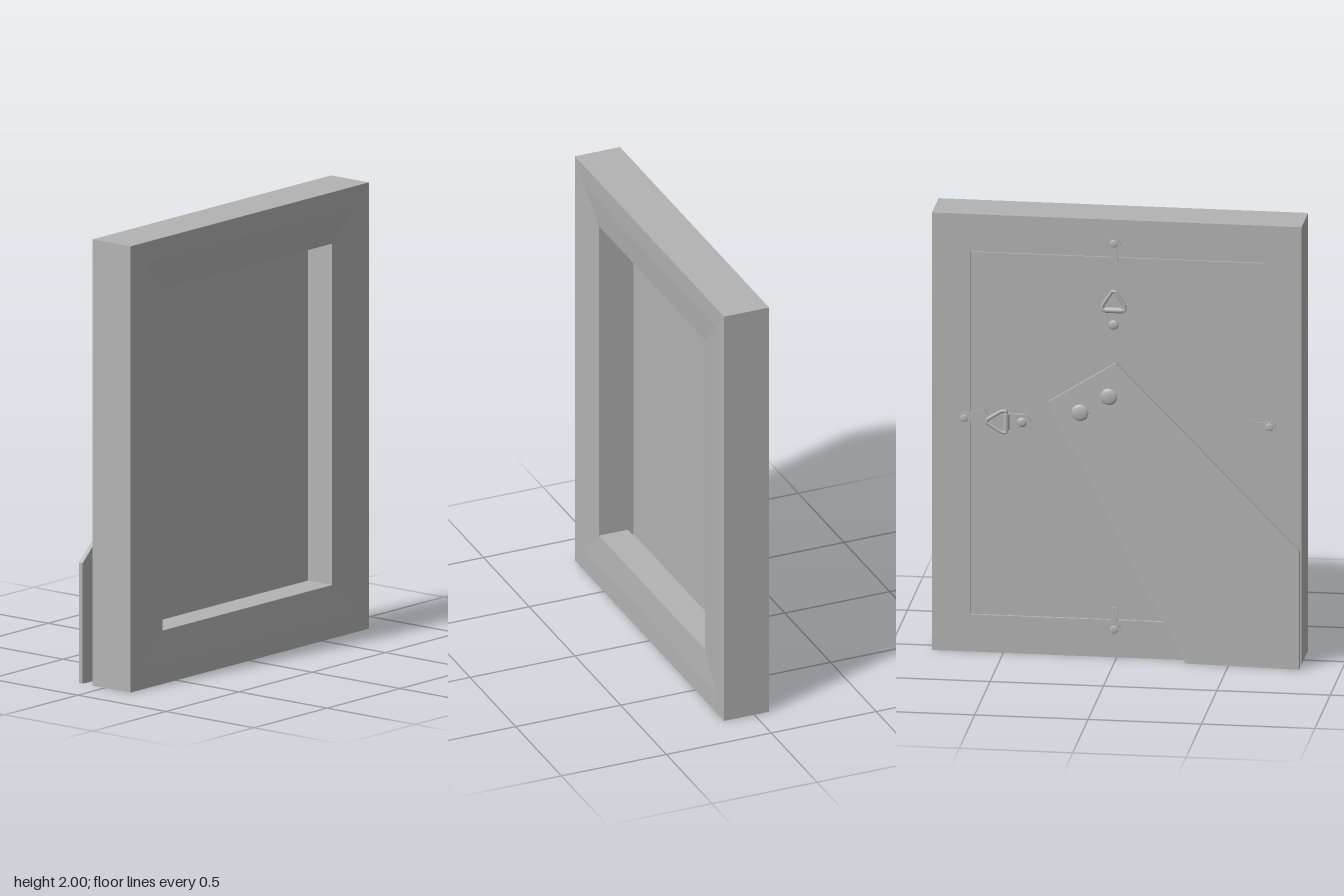
import * as THREE from 'three';

const BACK = -0.07; // rear plane of the frame

export function createModel() {
  const root = new THREE.Group();
  const grey = new THREE.MeshStandardMaterial({ color: 0xb3b3b3 });
  grey.name = 'grey';

  const add = (parent, name, geometry, x = 0, y = 0, z = 0) => {
    const mesh = new THREE.Mesh(geometry, grey);
    mesh.name = name;
    mesh.position.set(x, y, z);
    parent.add(mesh);
    return mesh;
  };

  // Low rivet head bulging towards -z
  const dome = (r, h) => {
    const pts = [];
    for (let i = 0; i <= 6; i++) {
      const a = (i / 6) * Math.PI / 2;
      pts.push(new THREE.Vector2(r * Math.cos(a), h * Math.sin(a)));
    }
    pts[6].x = 0;
    return new THREE.LatheGeometry(pts, 20).rotateX(-Math.PI / 2);
  };

  // Mitred moulding: profile of [distance inward, z], swept round four corners
  const profile = [[0, BACK], [0, 0.145], [0.1, 0.143], [0.235, 0.132],
    [0.235, -0.005], [0.17, -0.005], [0.17, BACK]];
  const corners = [[-1, -1], [1, -1], [1, 1], [-1, 1]];
  const at = (c, p) => [c[0] * (0.815 - p[0]), 1 + c[1] * (1 - p[0]), p[1]];
  const pos = [];
  corners.forEach((c, i) => {
    const n = corners[(i + 1) % 4];
    profile.forEach((p, j) => {
      const q = profile[(j + 1) % profile.length];
      const [A, B, C, D] = [at(c, p), at(n, p), at(n, q), at(c, q)];
      pos.push(...A, ...B, ...C, ...A, ...C, ...D);
    });
  });
  const moulding = new THREE.BufferGeometry();
  moulding.setAttribute('position', new THREE.Float32BufferAttribute(pos, 3));
  moulding.computeVertexNormals();
  add(root, 'frame', moulding);

  // Backing board set in the rebate
  add(root, 'backingBoard', new THREE.BoxGeometry(1.284, 1.654, 0.01), 0, 1, -0.063);

  // Easel leg, leaning away from the board towards its foot
  const legShape = new THREE.Shape([[0.3, 1.16], [0, 1.355], [-0.815, 0.54], [-0.815, 0], [-0.31, 0]]
    .map(([x, y]) => new THREE.Vector2(x, y)));
  const leg = new THREE.ExtrudeGeometry(legShape, { depth: 0.02, bevelEnabled: false });
  const legZ = x => -0.105 + 0.051 * x;
  const lp = leg.attributes.position;
  for (let i = 0; i < lp.count; i++) lp.setZ(i, lp.getZ(i) + legZ(lp.getX(i)));
  leg.computeVertexNormals();
  const stand = new THREE.Group();
  stand.name = 'stand';
  root.add(stand);
  add(stand, 'standLeg', leg);
  for (const [x, y] of [[0.158, 1.12], [0.03, 1.2]]) add(stand, 'standRivet', dome(0.038, 0.012), x, y, legZ(x));

  // Hangers: strap plate, rivet, folded loop and triangular wire ring
  const ringPath = new THREE.CurvePath();
  const tri = [[-0.05, 0], [0.05, 0], [0.048, 0.022], [0.008, 0.085], [-0.008, 0.085], [-0.048, 0.022]]
    .map(([x, y]) => new THREE.Vector3(x, y, 0));
  tri.forEach((p, i) => ringPath.add(new THREE.LineCurve3(p, tri[(i + 1) % tri.length])));
  const ringGeo = new THREE.TubeGeometry(ringPath, 60, 0.008, 8, true);
  const strap = new THREE.Shape();
  strap.moveTo(0.036, 0);
  strap.lineTo(-0.036, 0);
  strap.lineTo(-0.036, -0.07);
  strap.absarc(0, -0.07, 0.036, Math.PI, Math.PI * 2, false);
  const strapGeo = new THREE.ExtrudeGeometry(strap, { depth: 0.012, bevelEnabled: false, curveSegments: 14 });
  const hanger = (name, x, y, turn) => {
    const g = new THREE.Group();
    g.name = name;
    g.position.set(x, y, 0);
    g.rotation.z = turn;
    add(g, 'hangerStrap', strapGeo, 0, 0, -0.08);
    add(g, 'hangerRivet', dome(0.022, 0.008), 0, -0.068, -0.08);
    add(g, 'hangerLoop', new THREE.CylinderGeometry(0.013, 0.013, 0.072, 14).rotateZ(Math.PI / 2), 0, 0, -0.081);
    add(g, 'hangerRing', ringGeo, 0, 0, -0.081);
    root.add(g);
  };
  hanger('topHanger', 0.012, 1.59, 0);
  hanger('sideHanger', 0.485, 1.06, -Math.PI / 2);

  // Turn buttons that hold the board in, wide end outwards
  const button = new THREE.Shape();
  button.absarc(0, 0.037, 0.028, -0.6, Math.PI + 0.6, false);
  button.quadraticCurveTo(-0.01, 0, 0.022 * Math.cos(Math.PI - 0.6), -0.043 + 0.022 * Math.sin(0.6));
  button.absarc(0, -0.043, 0.022, Math.PI - 0.6, Math.PI * 2 + 0.6, false);
  button.quadraticCurveTo(0.01, 0, 0.028 * Math.cos(0.6), 0.037 - 0.028 * Math.sin(0.6));
  const buttonGeo = new THREE.ExtrudeGeometry(button, { depth: 0.006, bevelEnabled: false, curveSegments: 12 });
  const turns = [
    ['topTurnButton', 0.012, 1.855, 0],
    ['bottomTurnButton', 0.012, 0.165, Math.PI],
    ['leftTurnButton', 0.637, 1.08, -Math.PI / 2 - 0.35],
    ['rightTurnButton', -0.637, 1.085, Math.PI / 2 + 0.1],
  ];
  for (const [name, x, y, turn] of turns) {
    const g = new THREE.Group();
    g.name = name;
    g.position.set(x, y, 0);
    g.rotation.z = turn;
    add(g, 'buttonPlate', buttonGeo, 0, 0, -0.076);
    add(g, 'buttonScrew', dome(0.018, 0.004), 0, 0.037, -0.076);
    root.add(g);
  }
  return root;
}
